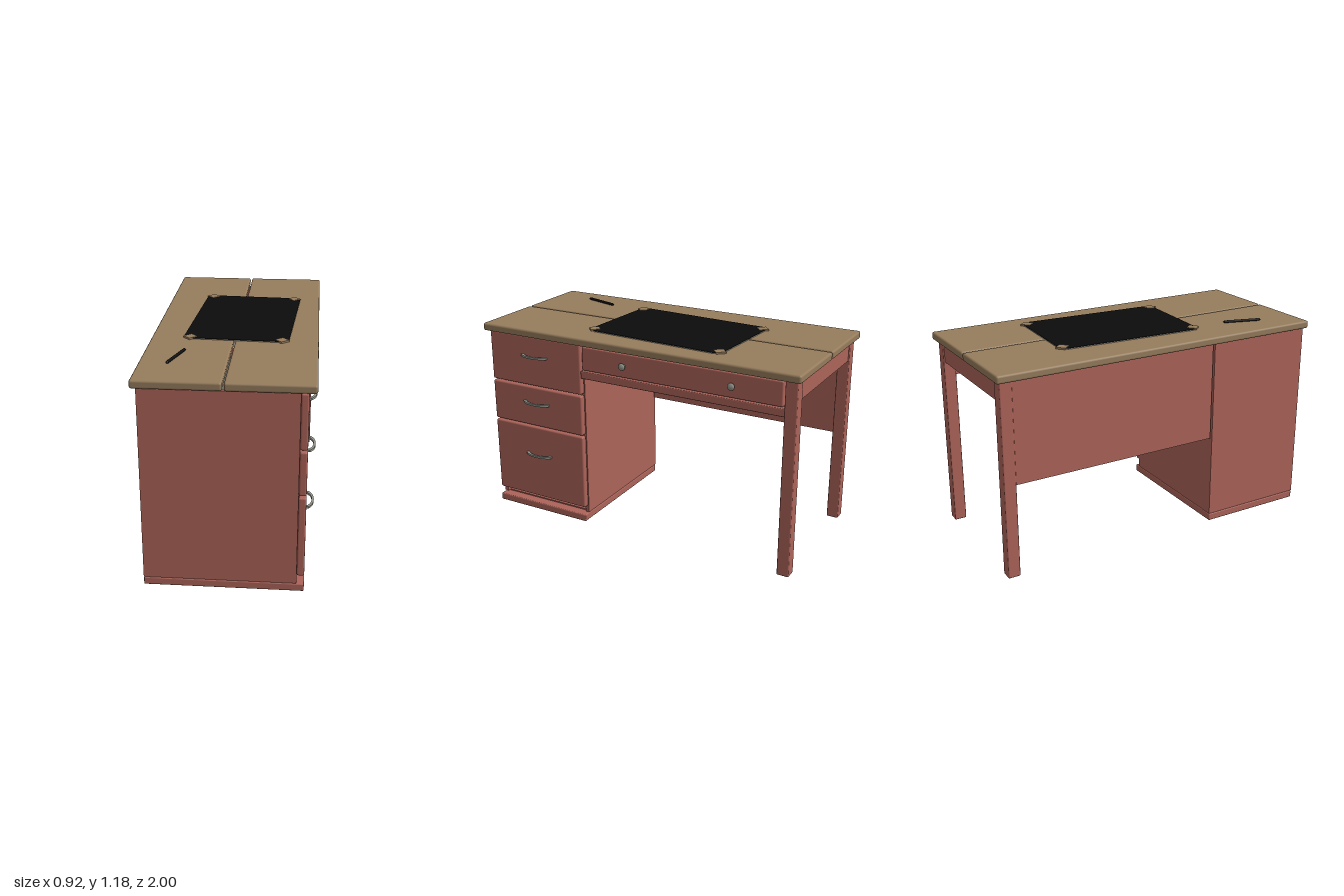
import * as THREE from 'three';
import { RoundedBoxGeometry } from 'three/addons/geometries/RoundedBoxGeometry.js';

export function createModel() {
  const desk = new THREE.Group();
  desk.name = 'desk';
  const mat = (name, color) => Object.assign(new THREE.MeshStandardMaterial({ color }), { name });
  const red = mat('red paint', 0xad645a);
  const wood = mat('brown wood', 0x967c5c);
  const grey = mat('grey metal', 0x94948c);
  const black = mat('black', 0x0c0c0c);

  const add = (name, geo, material, parent = desk) => {
    const m = new THREE.Mesh(geo, material);
    m.name = name;
    parent.add(m);
    return m;
  };
  // Box given by its limits on each axis, with an optional edge radius
  const box = (name, material, [x0, x1], [y0, y1], [z0, z1], r = 0, parent = desk) => {
    const s = [x1 - x0, y1 - y0, z1 - z0];
    const geo = r ? new RoundedBoxGeometry(...s, 2, r) : new THREE.BoxGeometry(...s);
    const m = add(name, geo, material, parent);
    m.position.set((x0 + x1) / 2, (y0 + y1) / 2, (z0 + z1) / 2);
    return m;
  };
  // Open-topped drawer tray
  const tray = (name, [x0, x1], [y0, y1], [z0, z1]) => {
    const g = new THREE.Group();
    g.name = name;
    desk.add(g);
    const t = 0.012;
    box('trayBottom', grey, [x0, x1], [y0, y0 + t], [z0, z1], 0, g);
    box('trayBack', grey, [x0, x0 + t], [y0 + t, y1], [z0, z1], 0, g);
    box('traySideA', grey, [x0 + t, x1], [y0 + t, y1], [z0, z0 + t], 0, g);
    box('traySideB', grey, [x0 + t, x1], [y0 + t, y1], [z1 - t, z1], 0, g);
  };

  // Two-board top
  box('topBoardBack', wood, [-0.46, -0.005], [1.125, 1.17], [-1, 1], 0.012);
  box('topBoardFront', wood, [0.005, 0.46], [1.125, 1.17], [-1, 1], 0.012);

  // Hollow drawer cabinet on a plinth
  box('plinth', red, [-0.43, 0.42], [0.003, 0.046], [0.345, 0.985], 0.006);
  box('cabinetInnerSide', red, [-0.43, 0.38], [0.05, 1.124], [0.345, 0.37]);
  box('cabinetOuterSide', red, [-0.43, 0.38], [0.05, 1.124], [0.96, 0.985]);
  box('cabinetBack', red, [-0.43, -0.405], [0.05, 1.124], [0.37, 0.96]);
  box('cabinetFloor', red, [-0.42, 0.36], [0.044, 0.054], [0.355, 0.975]);

  // Bowed handle outline, extruded to a flat strip
  const bow = new THREE.Shape();
  bow.moveTo(-0.09, 0);
  bow.lineTo(-0.09, 0.012);
  bow.quadraticCurveTo(-0.06, 0.04, 0, 0.04);
  bow.quadraticCurveTo(0.06, 0.04, 0.09, 0.012);
  bow.lineTo(0.09, 0);
  bow.lineTo(0.076, 0);
  bow.quadraticCurveTo(0.055, 0.028, 0, 0.028);
  bow.quadraticCurveTo(-0.055, 0.028, -0.076, 0);
  const handleGeo = new THREE.ExtrudeGeometry(bow, { depth: 0.012, bevelEnabled: false, curveSegments: 8 });
  handleGeo.translate(0, 0, -0.006).rotateX(Math.PI / 2).rotateY(Math.PI / 2);

  // Cabinet drawers: bottom, top, handle height
  [[0.095, 0.553, 0.378], [0.563, 0.808, 0.712], [0.818, 1.12, 1.003]].forEach(([y0, y1, h]) => {
    box('drawerFront', red, [0.38, 0.42], [y0, y1], [0.347, 0.983], 0.01);
    tray('drawerTray', [-0.38, 0.381], [y0 + 0.01, y1 - 0.04], [0.38, 0.95]);
    add('drawerHandle', handleGeo, grey).position.set(0.419, h, 0.665);
  });

  // Legs, end apron, rail and back panel
  for (const [x0, x1] of [[-0.43, -0.362], [0.36, 0.428]])
    box('leg', red, [x0, x1], [0.003, 1.124], [-0.975, -0.905], 0.006);
  box('endApron', red, [-0.37, 0.37], [1.01, 1.124], [-0.968, -0.94]);
  box('drawerRail', red, [0.38, 0.42], [0.92, 0.965], [-0.905, 0.345], 0.005);
  box('backPanel', red, [-0.425, -0.4], [0.545, 1.124], [-0.905, 0.335]);

  // Wide drawer with two knobs
  box('wideDrawerFront', red, [0.38, 0.42], [0.972, 1.112], [-0.893, 0.333], 0.008);
  tray('wideDrawerTray', [-0.31, 0.381], [0.978, 1.08], [-0.875, 0.315]);
  const knobProfile = [[0.012, 0], [0.008, 0.006], [0.007, 0.012], [0.02, 0.02], [0.021, 0.025], [0.014, 0.032], [0, 0.035]];
  const knobGeo = new THREE.LatheGeometry(knobProfile.map(p => new THREE.Vector2(...p)), 20);
  knobGeo.rotateZ(-Math.PI / 2);
  for (const z of [0.055, -0.61]) add('knob', knobGeo, grey).position.set(0.418, 1.042, z);

  // Desk pad with clipped corners, turned slightly
  const pad = new THREE.Group();
  pad.name = 'deskPad';
  pad.position.set(0.03, 1.17, -0.08);
  pad.rotation.y = -0.053;
  desk.add(pad);
  const padGeo = (w, d, c, h) => {
    const s = new THREE.Shape();
    [[w - c, -d], [w, c - d], [w, d - c], [w - c, d], [c - w, d], [-w, d - c], [-w, c - d], [c - w, -d]]
      .forEach(([x, y], i) => (i ? s.lineTo(x, y) : s.moveTo(x, y)));
    return new THREE.ExtrudeGeometry(s, { depth: h, bevelEnabled: false }).rotateX(-Math.PI / 2);
  };
  add('padBase', padGeo(0.29, 0.432, 0.04, 0.004), grey, pad);
  add('padSheet', padGeo(0.29, 0.432, 0.04, 0.003), black, pad).position.y = 0.004;
  for (const sx of [-1, 1]) for (const sz of [-1, 1]) {
    const corner = box('padCorner', wood, [-0.028, 0.028], [0, 0.01], [-0.028, 0.028], 0, pad);
    corner.position.set(sx * 0.253, 0.005, sz * 0.41);
    corner.rotation.y = Math.PI / 4;
  }

  // Pen lying on the top
  const penPath = new THREE.LineCurve3(new THREE.Vector3(0, 0, -0.1), new THREE.Vector3(0, 0, 0.115));
  const pen = new THREE.Group();
  pen.name = 'pen';
  pen.position.set(-0.275, 1.178, 0.637);
  pen.rotation.y = -0.287;
  desk.add(pen);
  add('penBarrel', new THREE.TubeGeometry(penPath, 1, 0.008, 10), black, pen);
  for (const [z, dir] of [[-0.1, -1], [0.115, 1]]) {
    const cap = add('penEnd', new THREE.ConeGeometry(0.008, 0.012, 10), black, pen);
    cap.position.z = z + dir * 0.006;
    cap.rotation.x = dir * Math.PI / 2;
  }
  return desk;
}
